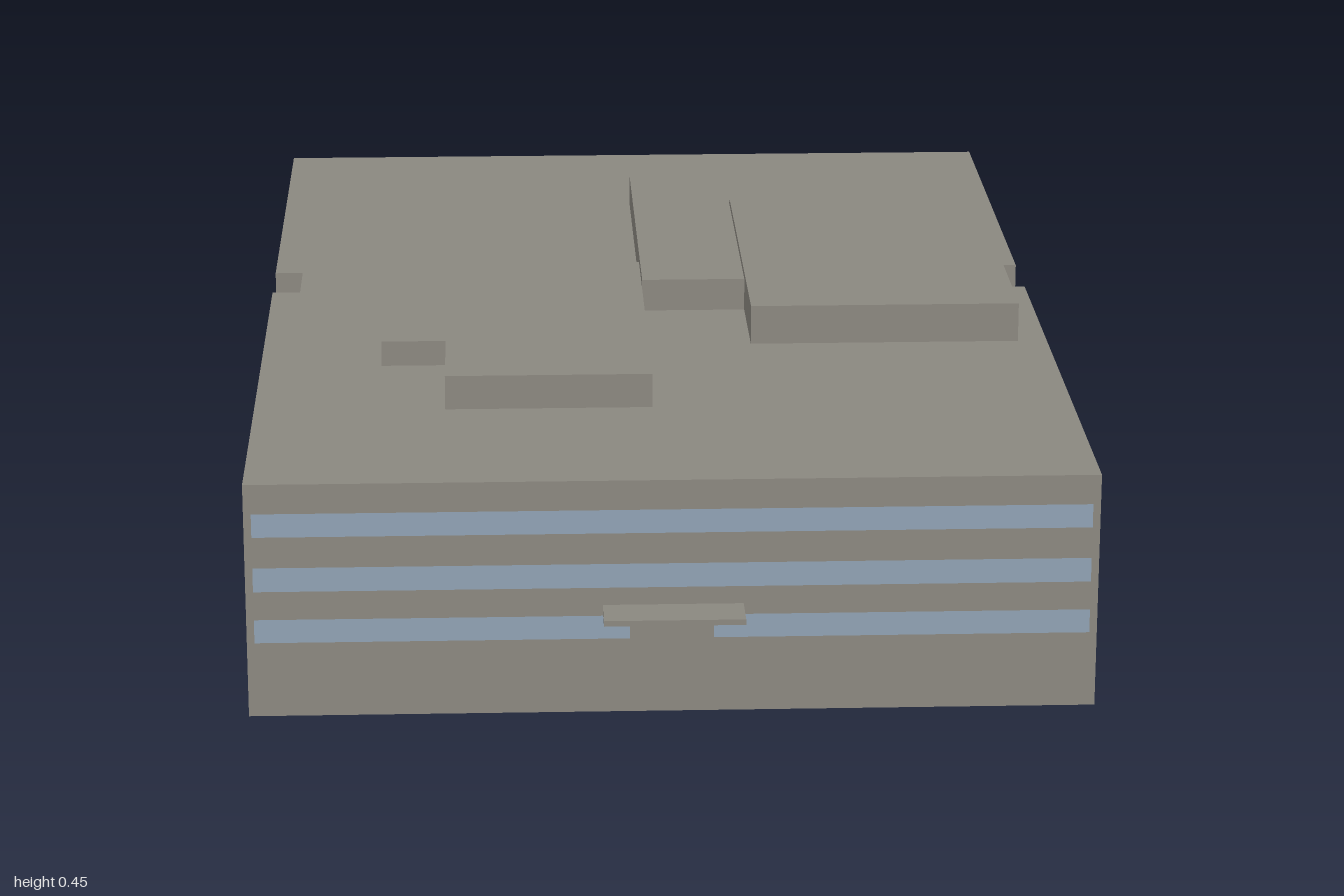
import * as THREE from 'three';

export function createModel() {
  const building = new THREE.Group();
  building.name = 'building';
  const concrete = new THREE.MeshStandardMaterial({ color: 0x8b8880, side: THREE.DoubleSide });
  concrete.name = 'grey concrete';
  const glass = new THREE.MeshStandardMaterial({ color: 0x90a2b4 });
  glass.name = 'blue glass';

  const H = 0.38;
  // Footprint as [x, z], walked left to right as seen from outside
  const footprint = [
    [-0.66, 0.93], [0.658, 0.93],
    [0.658, -0.08], [0.613, -0.08], [0.613, -0.213], [0.658, -0.213],
    [0.658, -1], [-0.66, -1],
    [-0.66, -0.21], [-0.612, -0.21], [-0.612, -0.09], [-0.66, -0.09],
  ];
  const bands = [[0.122, 0.16], [0.206, 0.245], [0.295, 0.333]];

  // Upright panel covering distances s0..s1 along the edge a-b
  function panel(name, material, a, b, s0, s1, y0, y1, offset) {
    const dx = b[0] - a[0], dz = b[1] - a[1], length = Math.hypot(dx, dz);
    const ux = dx / length, uz = dz / length, s = (s0 + s1) / 2;
    const mesh = new THREE.Mesh(new THREE.PlaneGeometry(s1 - s0, y1 - y0), material);
    mesh.position.set(a[0] + ux * s - uz * offset, (y0 + y1) / 2, a[1] + uz * s + ux * offset);
    mesh.rotation.y = Math.atan2(-dz, dx);
    mesh.name = name;
    building.add(mesh);
  }

  // Walls and their window bands; the lowest front band leaves room for the door
  footprint.forEach((a, i) => {
    const b = footprint[(i + 1) % footprint.length];
    const length = Math.hypot(b[0] - a[0], b[1] - a[1]);
    panel('wall', concrete, a, b, 0, length, 0, H, 0);
    if (length < 0.1) return;
    bands.forEach(([y0, y1], level) => {
      const spans = i === 0 && level === 0
        ? [[0.012, 0.592], [0.722, length - 0.012]]
        : [[0.012, length - 0.012]];
      for (const [s0, s1] of spans) panel('windowBand', glass, a, b, s0, s1, y0, y1, 0.002);
    });
  });

  // Flat roof with the side recesses cut out
  const outline = new THREE.Shape(footprint.map(([x, z]) => new THREE.Vector2(x, -z)));
  const roof = new THREE.Mesh(new THREE.ShapeGeometry(outline), concrete);
  roof.rotation.x = -Math.PI / 2;
  roof.position.y = H;
  roof.name = 'roof';
  building.add(roof);

  function block(name, x0, x1, y0, y1, z0, z1) {
    const mesh = new THREE.Mesh(new THREE.BoxGeometry(x1 - x0, y1 - y0, z1 - z0), concrete);
    mesh.position.set((x0 + x1) / 2, (y0 + y1) / 2, (z0 + z1) / 2);
    mesh.name = name;
    building.add(mesh);
  }

  // Overlapping raised roof slabs
  block('roofSlab', -0.46, -0.11, H, 0.422, -0.265, 0.338);
  block('roofSlab', -0.353, -0.02, H, 0.436, -0.065, 0.572);
  block('roofSlab', -0.018, 0.312, H, 0.435, -0.652, 0.04);
  block('roofSlab', 0.158, 0.609, H, 0.446, -0.445, 0.238);

  // Canopy over the entrance
  block('entranceCanopy', -0.11, 0.108, 0.168, 0.177, 0.93, 1);

  return building;
}
